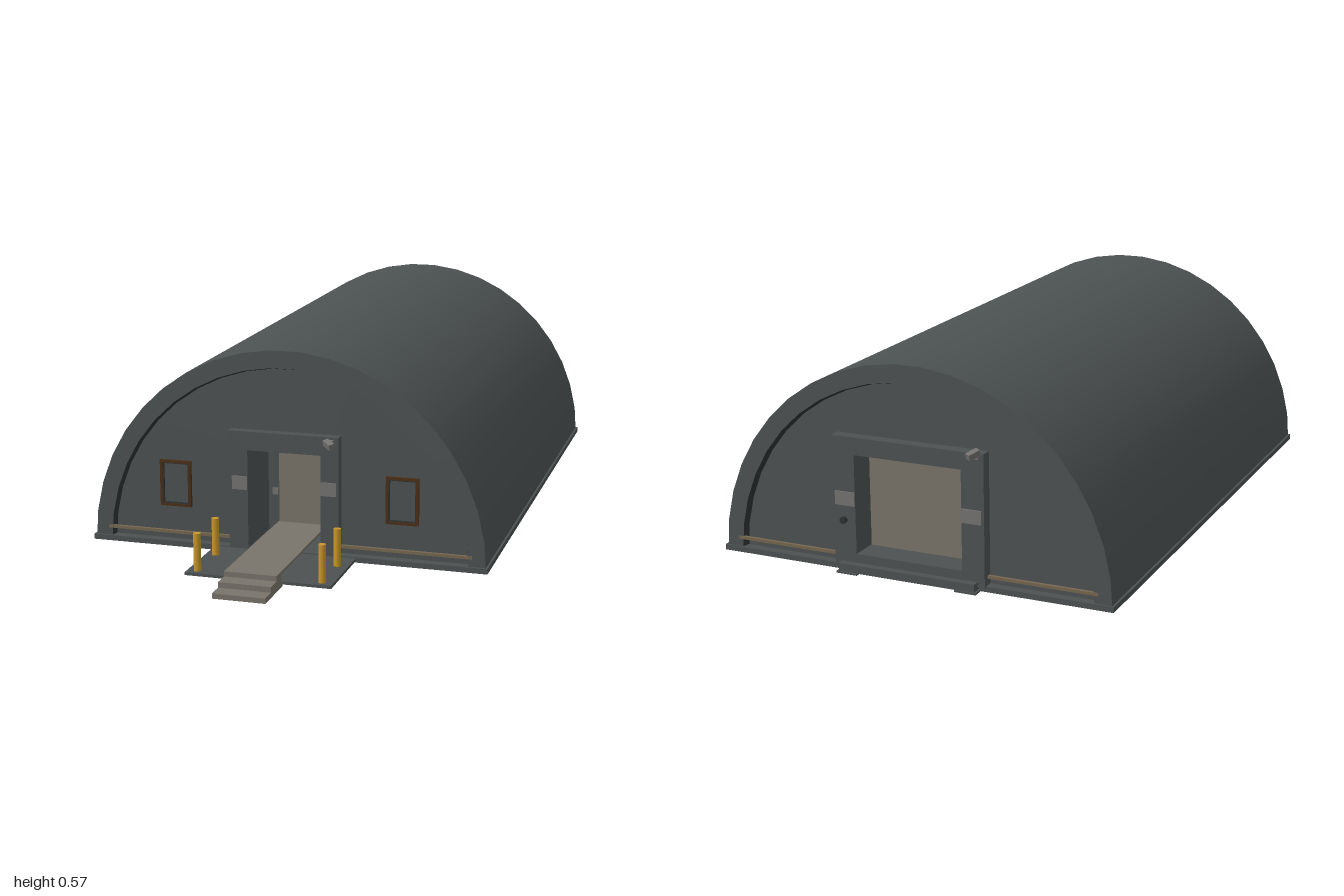
import * as THREE from 'three';

const mat = (name, color) => {
  const m = new THREE.MeshStandardMaterial({ color });
  m.name = name;
  return m;
};

export function createModel() {
  const root = new THREE.Group();
  root.name = 'archShelter';
  const grey = mat('shelter grey', 0x4c5152);
  const dark = mat('dark trim', 0x2e3233);
  const beige = mat('door beige', 0x78736a);
  const plate = mat('plate grey', 0x747270);
  const brown = mat('window brown', 0x4a2f16);
  const yellow = mat('bollard yellow', 0xc8952a);
  const tan = mat('strip tan', 0x75664f);

  const add = (parent, name, geo, m, x = 0, y = 0, z = 0) => {
    const mesh = new THREE.Mesh(geo, m);
    mesh.name = name;
    mesh.position.set(x, y, z);
    parent.add(mesh);
    return mesh;
  };
  // box given by its limits
  const box = (parent, name, m, x0, x1, y0, y1, z0, z1) =>
    add(parent, name, new THREE.BoxGeometry(x1 - x0, y1 - y0, z1 - z0), m,
      (x0 + x1) / 2, (y0 + y1) / 2, (z0 + z1) / 2);
  const rectPath = (P, x0, x1, y0, y1) => {
    const p = new P();
    p.moveTo(x0, y0); p.lineTo(x1, y0); p.lineTo(x1, y1); p.lineTo(x0, y1); p.closePath();
    return p;
  };
  const frame = (parent, name, m, o, i, z0, z1) => {
    const s = rectPath(THREE.Shape, ...o);
    s.holes.push(rectPath(THREE.Path, ...i));
    return add(parent, name, new THREE.ExtrudeGeometry(s, { depth: z1 - z0, bevelEnabled: false }), m, 0, 0, z0);
  };

  // arched shell, lofted through half-ellipse rings from front rim to back rim
  const N = 21, A = 0.555, B = 0.568, FRONT = 0.622, BACK = -0.955, IN = 0.02;
  const arch = (s) => Array.from({ length: N + 1 }, (_, i) => {
    const t = Math.PI * i / N;
    return new THREE.Vector2(A * s * Math.cos(t), B * s * Math.sin(t));
  });
  const rings = [[0.906, FRONT - IN], [0.915, FRONT], [1, FRONT], [1, BACK], [0.915, BACK], [0.906, BACK + IN]];
  const names = ['frontReveal', 'frontRim', 'roofShell', 'backRim', 'backReveal'];
  names.forEach((name, k) => {
    const pos = [], idx = [];
    for (const [s, z] of [rings[k], rings[k + 1]]) for (const p of arch(s)) pos.push(p.x, p.y, z);
    for (let i = 0; i < N; i++) {
      const b = i + N + 1;
      idx.push(i, b, i + 1, i + 1, b, b + 1);
    }
    const g = new THREE.BufferGeometry();
    g.setAttribute('position', new THREE.Float32BufferAttribute(pos, 3));
    g.setIndex(idx);
    g.computeVertexNormals();
    add(root, name, g, name.endsWith('Reveal') ? dark : grey);
  });

  // base slab with a raised curb underneath, and the entrance pad
  box(root, 'baseSlab', grey, -0.56, 0.56, 0.004, 0.015, -0.96, 0.628);
  const curb = frame(root, 'baseCurb', grey, [-0.56, 0.56, -0.628, 0.96], [-0.55, 0.55, -0.618, 0.95], 0, 0.006);
  curb.rotation.x = -Math.PI / 2;
  box(root, 'entrancePad', grey, -0.2, 0.2, 0.004, 0.012, 0.628, 0.86);
  for (const s of [-1, 1]) {
    const strip = (name, m, z0, z1, w, y) => box(root, name, m, s * 0.538 - w, s * 0.538 + w, y, 0.006, z0, z1);
    strip('undersideStrip', brown, -0.9, 0.56, 0.003, 0.002);
    for (const z of [-0.7, -0.2, 0.3]) strip('undersideClip', plate, z, z + 0.1, 0.005, 0.001);
    // brackets under both ends
    const x = s * 0.13;
    frame(root, 'frontBracket', grey, [x - 0.03, x + 0.03, -0.66, -0.57], [x - 0.02, x + 0.02, -0.65, -0.58], 0, 0.005)
      .rotation.x = -Math.PI / 2;
  }

  // one end of the shelter, built facing +z with its wall on z = 0
  const endWall = (name, o, hole, depth, door, fz) => {
    const g = new THREE.Group();
    g.name = name;
    const s = new THREE.Shape(arch(0.91));
    s.holes.push(rectPath(THREE.Path, ...hole));
    add(g, 'endWall', new THREE.ShapeGeometry(s), grey);
    frame(g, 'doorFrame', grey, o, hole, 0, fz);
    const [x0, x1, y0, y1] = hole, t = 0.01;
    box(g, 'recessSide', grey, x0 - t, x0, y0, y1, -depth, 0);
    box(g, 'recessSide', grey, x1, x1 + t, y0, y1, -depth, 0);
    box(g, 'recessTop', grey, x0, x1, y1, y1 + t, -depth, 0);
    box(g, 'recessFloor', grey, x0, x1, y0 - t, y0, -depth, 0);
    box(g, 'recessBack', grey, x0 - t, x1 + t, y0, y1, -depth - t, -depth);
    box(g, 'door', beige, ...door, -depth, -depth + 0.006);
    // sign plates on the frame, low strip on the wall and rim
    for (const side of [-1, 1]) {
      const a = side * x1, b = side * (o[1] - 0.006);
      box(g, 'framePlate', plate, Math.min(a, b), Math.max(a, b), 0.18, 0.217, fz, fz + 0.004);
      const c = side * (o[1] + 0.004), d = side * 0.517;
      box(g, 'wallStrip', tan, Math.min(c, d), Math.max(c, d), 0.036, 0.044, IN - 0.006, IN + 0.003);
    }
    root.add(g);
    return g;
  };
  const camera = (parent, x, y, z, turn) => {
    const c = new THREE.Group();
    c.name = 'securityCamera';
    box(c, 'cameraMount', plate, -0.008, 0.008, -0.016, 0.008, 0, 0.012);
    const body = box(c, 'cameraBody', plate, -0.008, 0.008, -0.008, 0.008, 0.004, 0.038);
    body.rotation.set(0.3, turn, 0);
    c.position.set(x, y, z);
    parent.add(c);
  };

  // front end: doorway, windows, camera
  const front = endWall('frontEnd', [-0.157, 0.153, 0.012, 0.342], [-0.103, 0.103, 0.015, 0.29], 0.15,
    [-0.07, 0.066, 0.04, 0.286], 0.028);
  front.position.z = FRONT - IN;
  for (const x of [-0.32, 0.323]) {
    const w = 0.045;
    frame(front, 'windowFrame', brown, [x - w, x + w, 0.11, 0.24], [x - w + 0.007, x + w - 0.007, 0.117, 0.233], 0, 0.009);
    frame(front, 'windowSeal', dark, [x - w + 0.007, x + w - 0.007, 0.117, 0.233],
      [x - w + 0.01, x + w - 0.01, 0.12, 0.23], 0, 0.006);
  }
  box(front, 'doorKeypad', plate, -0.09, -0.073, 0.12, 0.138, -0.15, -0.143);
  camera(front, 0.132, 0.328, 0.028, 0.8);

  // back end: wide door with bumper, control knob and camera
  const back = endWall('backEnd', [-0.215, 0.215, 0.012, 0.365], [-0.152, 0.152, 0.05, 0.318], 0.05,
    [-0.15, 0.15, 0.05, 0.315], 0.032);
  back.rotation.y = Math.PI;
  back.position.z = BACK + IN;
  box(back, 'doorBumper', grey, -0.195, 0.195, 0.004, 0.026, 0.02, 0.052);
  for (const x of [-0.17, 0.17]) {
    frame(back, 'bumperBracket', grey, [x - 0.03, x + 0.03, -0.056, 0.03], [x - 0.02, x + 0.02, -0.046, 0.02], 0, 0.005)
      .rotation.x = -Math.PI / 2;
  }
  const knob = add(back, 'doorControl', new THREE.CylinderGeometry(0.009, 0.009, 0.012, 12), dark, -0.185, 0.14, 0.036);
  knob.rotation.x = Math.PI / 2;
  camera(back, 0.195, 0.368, 0.028, -0.5);

  // raised walkway into the doorway and its steps
  box(root, 'walkway', beige, -0.072, 0.07, 0.035, 0.043, 0.46, 0.91);
  box(root, 'stepRiser', beige, -0.072, 0.07, 0.029, 0.035, 0.87, 0.91);
  box(root, 'upperStep', beige, -0.072, 0.07, 0.014, 0.029, 0.87, 0.955);
  box(root, 'lowerStep', beige, -0.072, 0.07, 0, 0.014, 0.862, 1);

  // bollards set through the pad
  for (const x of [-0.172, 0.17]) for (const z of [0.7, 0.838]) {
    add(root, 'bollard', new THREE.CylinderGeometry(0.01, 0.01, 0.115, 12), yellow, x, 0.0575, z);
  }
  return root;
}
